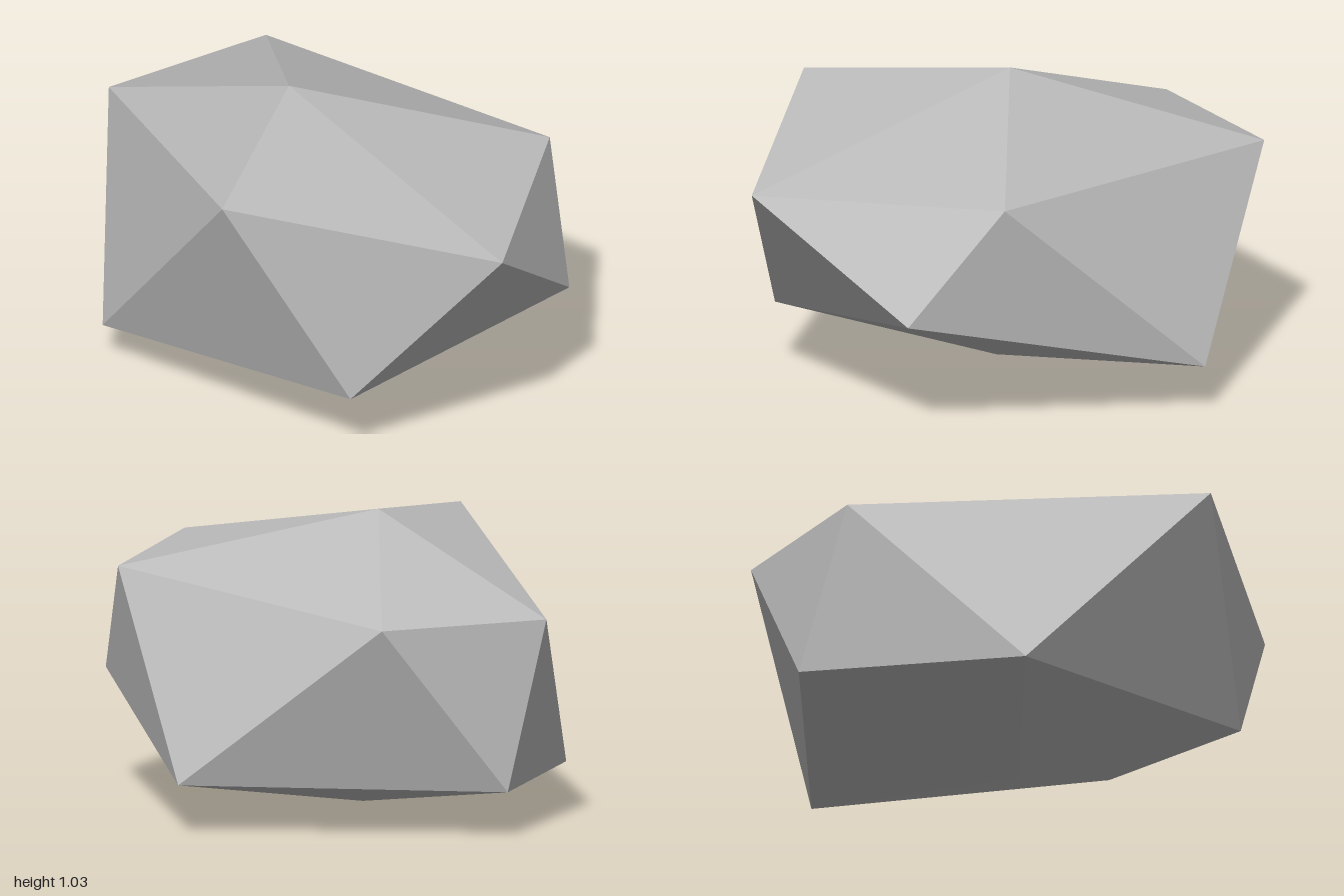
import * as THREE from 'three';

export function createModel() {
  const group = new THREE.Group();
  group.name = 'rock';

  const stone = new THREE.MeshStandardMaterial({ color: 0xbcbcbc, flatShading: true });
  stone.name = 'stone grey';

  // Peak, two staggered rings of five corners, and the foot
  const peak = [-0.14, 1.035, 0.16];
  const upper = [[-0.93, 0.74, 0.36], [0.31, 0.945, 0.77], [1, 0.815, 0.07], [0.38, 0.825, -0.58], [-0.9, 0.75, -0.29]];
  const lower = [[-0.44, 0.14, 0.74], [0.64, 0.24, 0.46], [0.69, 0.415, -0.44], [-0.33, 0.17, -0.77], [-1, 0.16, 0.16]];
  const foot = [-0.07, 0, 0.14];

  // Join the rings into twenty facets: cap, zigzag side band, underside
  const corners = [];
  for (let i = 0; i < 5; i++) {
    const j = (i + 1) % 5;
    corners.push(
      peak, upper[i], upper[j],
      upper[i], lower[i], upper[j],
      lower[i], lower[j], upper[j],
      foot, lower[j], lower[i],
    );
  }

  const geometry = new THREE.BufferGeometry();
  geometry.setAttribute('position', new THREE.Float32BufferAttribute(corners.flat(), 3));
  geometry.computeVertexNormals();

  const boulder = new THREE.Mesh(geometry, stone);
  boulder.name = 'boulder';
  group.add(boulder);
  return group;
}
